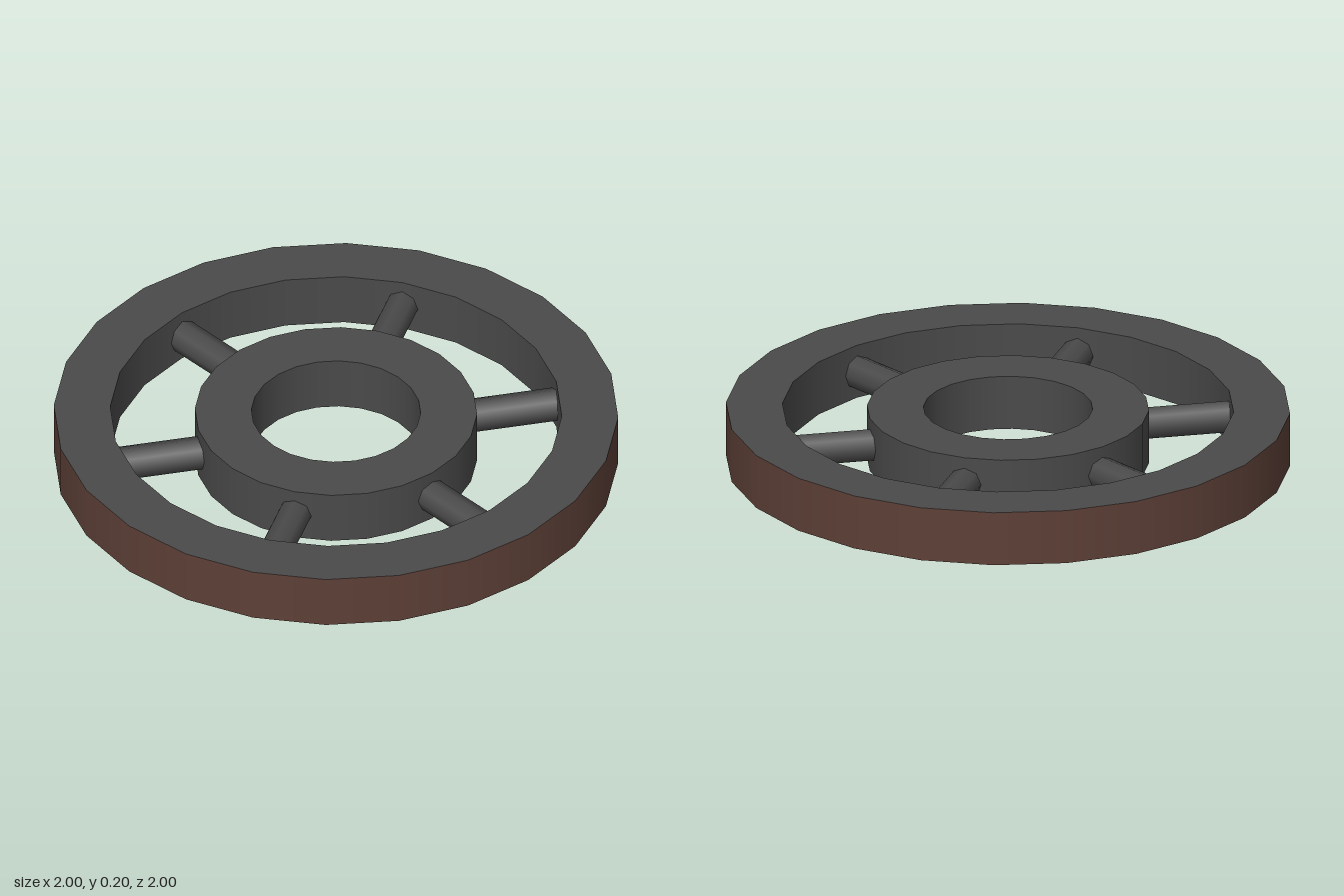
import * as THREE from 'three';

const HEIGHT = 0.2, SIDES = 24;

export function createModel() {
  const wheel = new THREE.Group();
  wheel.name = 'wheel';
  const grey = new THREE.MeshStandardMaterial({ color: 0x4a4a4a });
  grey.name = 'dark grey';
  const brown = new THREE.MeshStandardMaterial({ color: 0x5d4037 });
  brown.name = 'brown';

  // One revolved face between two profile points; rising points face outward
  const face = (name, from, to, material) => {
    const points = [new THREE.Vector2(...from), new THREE.Vector2(...to)];
    const mesh = new THREE.Mesh(new THREE.LatheGeometry(points, SIDES), material);
    mesh.name = name;
    return mesh;
  };

  // Flat ring with sharp edges and smooth walls
  const ring = (name, inner, outer, wallMaterial) => {
    const group = new THREE.Group();
    group.name = name;
    group.add(
      face(name + 'OuterWall', [outer, 0], [outer, HEIGHT], wallMaterial),
      face(name + 'Top', [outer, HEIGHT], [inner, HEIGHT], grey),
      face(name + 'InnerWall', [inner, HEIGHT], [inner, 0], grey),
      face(name + 'Bottom', [inner, 0], [outer, 0], grey)
    );
    return group;
  };

  wheel.add(ring('rim', 0.8, 1, brown), ring('hub', 0.3, 0.5, grey));

  // Six round spokes joining hub and rim
  const spokeGeometry = new THREE.CylinderGeometry(0.06, 0.06, 0.34, 8);
  spokeGeometry.rotateZ(Math.PI / 2).translate(0.64, HEIGHT / 2, 0);
  for (let i = 0; i < 6; i++) {
    const spoke = new THREE.Mesh(spokeGeometry, grey);
    spoke.name = 'spoke' + (i + 1);
    spoke.rotation.y = i * Math.PI / 3;
    wheel.add(spoke);
  }
  return wheel;
}
